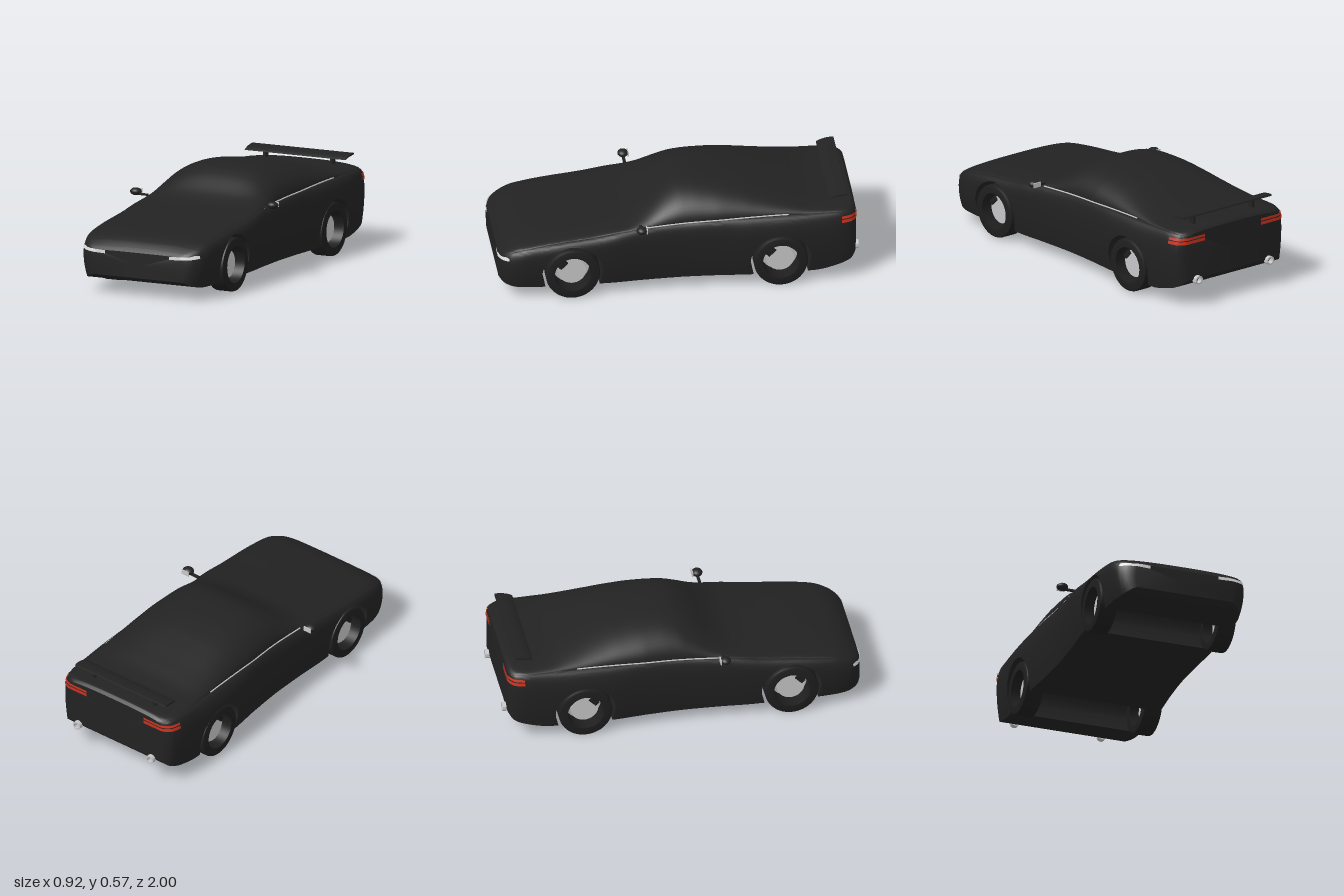
import * as THREE from 'three';
import { toCreasedNormals } from 'three/addons/utils/BufferGeometryUtils.js';

const mat = (name, color, side = THREE.FrontSide) => {
  const m = new THREE.MeshStandardMaterial({ color, side });
  m.name = name;
  return m;
};

// Monotone cubic curve through [z, value] keys, z ascending
function curve(keys) {
  const n = keys.length, slope = [];
  for (let i = 0; i < n - 1; i++) slope.push((keys[i + 1][1] - keys[i][1]) / (keys[i + 1][0] - keys[i][0]));
  const tan = keys.map((_, i) => {
    if (i === 0) return slope[0];
    if (i === n - 1) return slope[n - 2];
    const a = slope[i - 1], b = slope[i];
    return a * b <= 0 ? 0 : (2 * a * b) / (a + b);
  });
  return (z) => {
    if (z <= keys[0][0]) return keys[0][1];
    if (z >= keys[n - 1][0]) return keys[n - 1][1];
    let i = 0;
    while (z > keys[i + 1][0]) i++;
    const h = keys[i + 1][0] - keys[i][0], t = (z - keys[i][0]) / h, t2 = t * t, t3 = t2 * t;
    return (2 * t3 - 3 * t2 + 1) * keys[i][1] + (t3 - 2 * t2 + t) * h * tan[i]
      + (3 * t2 - 2 * t3) * keys[i + 1][1] + (t3 - t2) * h * tan[i + 1];
  };
}

const BACK = -0.978, FRONT = 1;
const AXLES = [-0.555, 0.6], AXLE_Y = 0.15, ARCH = 0.17;

// Half width, centreline height, beltline height and floor height along the car
const halfWidth = curve([[BACK, 0.325], [-0.968, 0.35], [-0.94, 0.378], [-0.88, 0.394], [-0.8, 0.402], [-0.57, 0.413],
  [-0.4, 0.41], [-0.2, 0.394], [0, 0.386], [0.2, 0.392], [0.4, 0.404], [0.65, 0.405], [0.85, 0.394], [0.93, 0.374],
  [0.97, 0.345], [0.99, 0.315], [FRONT, 0.285]]);
const roofY = curve([[BACK, 0.43], [-0.96, 0.446], [-0.85, 0.45], [-0.74, 0.459], [-0.61, 0.488], [-0.45, 0.528],
  [-0.34, 0.552], [-0.2, 0.57], [-0.1, 0.574], [-0.02, 0.567], [0.06, 0.537], [0.22, 0.437], [0.3, 0.406],
  [0.46, 0.383], [0.7, 0.355], [0.865, 0.329], [0.935, 0.301], [0.98, 0.268], [FRONT, 0.247]]);
const beltY = curve([[BACK, 0.414], [-0.9, 0.425], [-0.6, 0.426], [0.2, 0.394], [0.32, 0.382], [0.46, 0.36],
  [0.7, 0.333], [0.865, 0.305], [0.935, 0.28], [0.98, 0.258], [FRONT, 0.243]]);
const floorY = curve([[BACK, 0.155], [-0.95, 0.125], [-0.88, 0.098], [-0.74, 0.071], [0.9, 0.07], [0.97, 0.083], [FRONT, 0.105]]);
const beltX = (z) => Math.min(halfWidth(z) - 0.03, 0.365);

// Half width of the body side at a given height
function sideX(y, z) {
  const b = beltY(z), mid = Math.min(0.31, b - 0.07), w = halfWidth(z);
  if (y < mid) return w * (1 - 0.07 * ((mid - y) / (mid - 0.07)) ** 2);
  const s = Math.min(1, (y - mid) / (b - mid));
  return beltX(z) + (w - beltX(z)) * Math.sqrt(1 - s * s);
}

// Lofted body shell; the lower edge rises over each axle to form the wheel arches
function bodyGeometry() {
  const SIDE = 16, TOP = 16, stations = [];
  const add = (z, bottom = floorY(z), lip = null) => stations.push({ z, bottom, lip });
  const span = (a, b, n) => { for (let i = 0; i <= n; i++) add(a + ((b - a) * i) / n); };
  const arch = (c) => {
    add(c - ARCH, floorY(c - ARCH), [c, -1]);
    for (let i = 0; i <= 24; i++) {
      const t = Math.PI * (1 - i / 24);
      add(c + ARCH * Math.cos(t), AXLE_Y + ARCH * Math.sin(t));
    }
    add(c + ARCH, floorY(c + ARCH), [c, 1]);
  };
  span(BACK, -0.93, 8);
  span(-0.91, AXLES[0] - ARCH - 0.01, 7);
  arch(AXLES[0]);
  span(AXLES[0] + ARCH + 0.01, AXLES[1] - ARCH - 0.01, 34);
  arch(AXLES[1]);
  span(AXLES[1] + ARCH + 0.01, 0.93, 7);
  span(0.94, FRONT, 10);

  const pos = [], idx = [];
  let ring = 0;
  for (const { z, bottom, lip } of stations) {
    const half = [[0, bottom]], b = beltY(z), t = roofY(z);
    for (let k = 0; k <= SIDE; k++) {
      const y = bottom + (b - bottom) * Math.sin((Math.PI / 2) * (k / SIDE));
      half.push([sideX(y, z), y]);
    }
    for (let k = 1; k <= TOP; k++) {
      const u = Math.cos((Math.PI / 2) * (k / TOP));
      half.push([k === TOP ? 0 : beltX(z) * u, b + (t - b) * (1 - u ** 2.8) ** 0.55]);
    }
    const loop = [...half, ...half.slice(1, -1).reverse().map(([x, y]) => [-x, y])];
    ring = loop.length;
    for (const [x, y] of loop) {
      const zz = lip && y < AXLE_Y ? lip[0] + lip[1] * Math.sqrt(ARCH ** 2 - (y - AXLE_Y) ** 2) : z;
      pos.push(x, y, zz);
    }
  }
  for (let i = 0; i < stations.length - 1; i++) {
    for (let j = 0; j < ring; j++) {
      const a = i * ring + j, b = i * ring + ((j + 1) % ring);
      idx.push(a, b, b + ring, a, b + ring, a + ring);
    }
  }
  // Flat nose and tail panels
  const last = (stations.length - 1) * ring, c = pos.length / 3;
  pos.push(0, 0.28, BACK, 0, 0.17, FRONT);
  for (let j = 0; j < ring; j++) {
    const k = (j + 1) % ring;
    idx.push(c, k, j, c + 1, last + j, last + k);
  }
  const g = new THREE.BufferGeometry();
  g.setAttribute('position', new THREE.Float32BufferAttribute(pos, 3));
  g.setIndex(idx);
  return toCreasedNormals(g, 0.6);
}

// Thin lamp wrapping a body corner: from zStart round to innerX on the end panel
function lampGeometry(zStart, zEnd, innerX, low, high) {
  const pos = [], idx = [], N = 14, M = 4, e = 0.004, dir = Math.sign(zEnd);
  for (let i = 0; i <= N + M; i++) {
    const t = i / (N + M);
    for (const y of [low(t), high(t)]) {
      const z = zStart + (zEnd - zStart) * Math.min(1, i / N);
      const x = sideX(y, z) + e;
      const f = Math.max(0, (i - N) / M);
      pos.push(x + (innerX - x) * f, y, z + dir * e);
    }
    if (i) idx.push(2 * i - 2, 2 * i, 2 * i - 1, 2 * i - 1, 2 * i, 2 * i + 1);
  }
  const g = new THREE.BufferGeometry();
  g.setAttribute('position', new THREE.Float32BufferAttribute(pos, 3));
  g.setIndex(idx);
  g.computeVertexNormals();
  return g;
}

export function createModel() {
  const car = new THREE.Group();
  const paint = mat('black paint', 0x222222);
  const rubber = mat('black rubber', 0x1e1e1e);
  const chrome = mat('chrome', 0xc6c6c8, THREE.DoubleSide);
  const lampWhite = mat('headlight white', 0xdcdcdc, THREE.DoubleSide);
  const lampRed = mat('taillight red', 0xc8321e, THREE.DoubleSide);

  const put = (parent, name, geo, material, x = 0, y = 0, z = 0) => {
    const m = new THREE.Mesh(geo, material);
    m.name = name;
    m.position.set(x, y, z);
    parent.add(m);
    return m;
  };

  put(car, 'body', bodyGeometry(), paint);

  // Wheels: open tyre ring, brake disc and caliper
  const ringProfile = [[0.102, -0.053], [0.138, -0.053], [0.147, -0.049], [0.15, -0.04], [0.15, 0.04], [0.147, 0.049],
    [0.138, 0.053], [0.102, 0.053], [0.102, -0.053]].map(([r, h]) => new THREE.Vector2(r, h));
  const tyreGeo = toCreasedNormals(new THREE.LatheGeometry(ringProfile, 48), 0.7);
  const discGeo = new THREE.CylinderGeometry(0.077, 0.077, 0.012, 40);
  const caliperGeo = new THREE.BoxGeometry(0.03, 0.028, 0.055);

  for (const side of [1, -1]) {
    const label = side > 0 ? 'left' : 'right';
    AXLES.forEach((z, i) => {
      const wheel = new THREE.Group();
      wheel.name = label + (i ? 'Front' : 'Rear') + 'Wheel';
      wheel.position.set(side * 0.348, AXLE_Y, z);
      put(wheel, 'tyre', tyreGeo, rubber).rotation.z = Math.PI / 2;
      put(wheel, 'brakeDisc', discGeo, chrome).rotation.z = Math.PI / 2;
      put(wheel, 'brakeCaliper', caliperGeo, rubber, 0, 0.043, 0.052).rotation.x = Math.PI / 4;
      car.add(wheel);
    });

    // Door mirror
    const mirror = new THREE.Group();
    mirror.name = label + 'Mirror';
    put(mirror, 'housing', new THREE.SphereGeometry(1, 24, 16), paint, side * 0.427, 0.421, 0.222).scale.set(0.033, 0.021, 0.03);
    put(mirror, 'glass', new THREE.BoxGeometry(0.048, 0.027, 0.006), chrome, side * 0.427, 0.421, 0.194);
    put(mirror, 'arm', new THREE.BoxGeometry(0.06, 0.01, 0.016), paint, side * 0.382, 0.408, 0.222);
    car.add(mirror);

    // Beltline trim under the side windows
    const line = [];
    for (let i = 0; i <= 16; i++) {
      const z = 0.21 - (0.81 * i) / 16;
      line.push(new THREE.Vector3(side * (beltX(z) + 0.001), beltY(z) + 0.002, z));
    }
    put(car, label + 'WindowTrim', new THREE.TubeGeometry(new THREE.CatmullRomCurve3(line), 32, 0.004, 6), chrome);

    // Lamps
    const head = lampGeometry(0.945, FRONT, 0.2, (t) => 0.24 - 0.013 * t, (t) => 0.254 - 0.009 * t + 0.006 * Math.sin(Math.PI * Math.min(1, t * 2)) * (1 - t));
    put(car, label + 'Headlight', head, lampWhite).scale.x = side;
    for (const [y, h] of [[0.367, 0.018], [0.39, 0.014]]) {
      const tail = lampGeometry(-0.89, BACK, 0.2, () => y, () => y + h);
      put(car, label + 'Taillight', tail, lampRed).scale.x = side;
    }

    // Exhaust tip
    const tip = [[0.016, -0.015], [0.025, -0.015], [0.025, 0.015], [0.016, 0.015], [0.016, -0.015]].map(([r, h]) => new THREE.Vector2(r, h));
    put(car, label + 'Exhaust', toCreasedNormals(new THREE.LatheGeometry(tip, 24), 0.6), chrome, side * 0.255, 0.15, -0.985).rotation.x = Math.PI / 2;

    // Wing post
    put(car, label + 'WingPost', new THREE.BoxGeometry(0.016, 0.055, 0.036), paint, side * 0.21, 0.467, -0.885);
  }

  // Rear wing: thin section extruded across the car
  const section = new THREE.Shape();
  section.moveTo(0.835, 0.482);
  section.quadraticCurveTo(0.87, 0.507, 0.932, 0.507);
  section.lineTo(0.935, 0.498);
  section.quadraticCurveTo(0.875, 0.494, 0.835, 0.482);
  const wing = new THREE.ExtrudeGeometry(section, { depth: 0.63, bevelEnabled: false, curveSegments: 8 });
  put(car, 'rearWing', toCreasedNormals(wing, 0.6), paint, -0.315, 0, 0).rotation.y = Math.PI / 2;

  return car;
}
